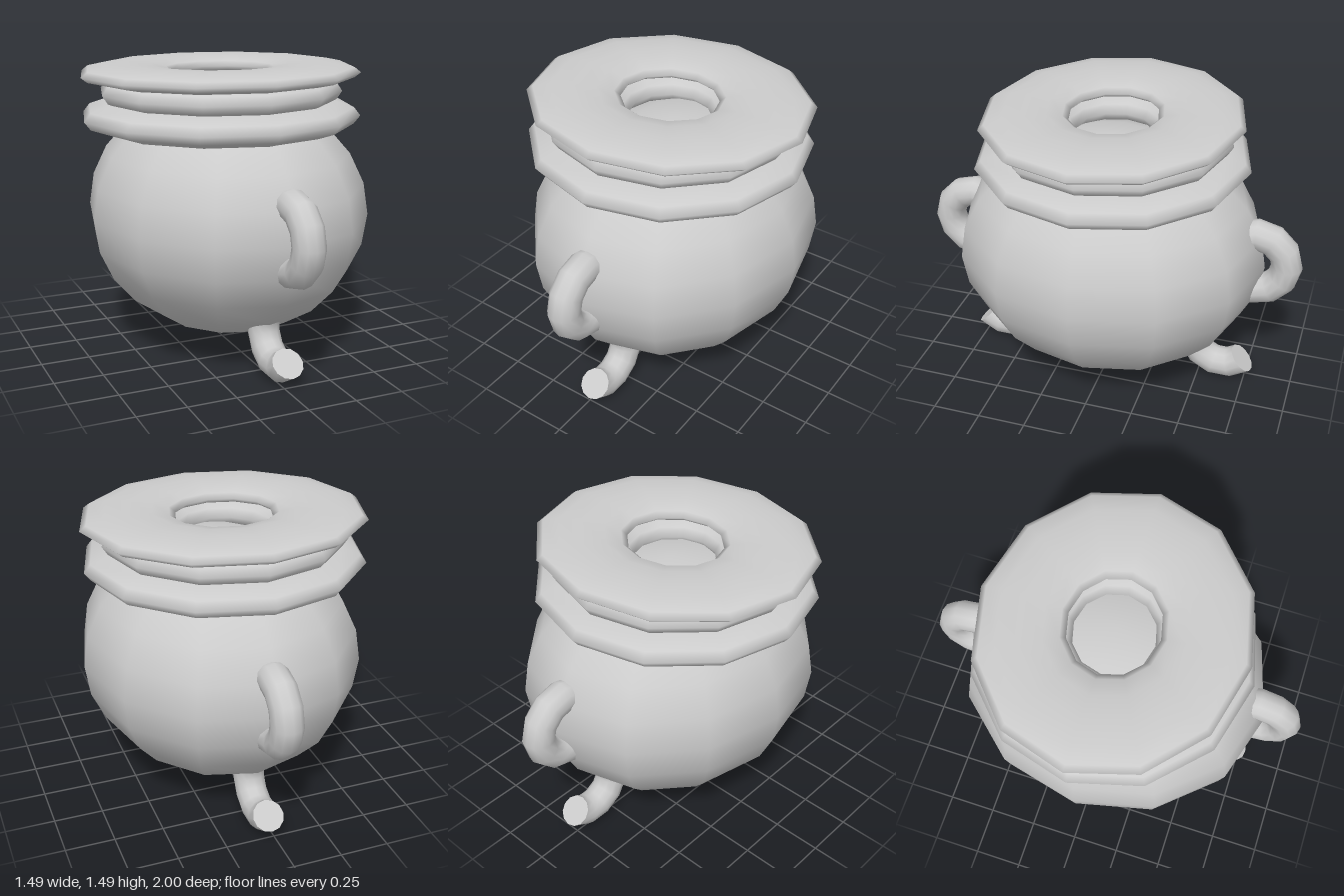
import * as THREE from 'three';

const material = new THREE.MeshStandardMaterial({ color: 0xcccccc });
const deg = THREE.MathUtils.degToRad;

function addMesh(parent, name, geometry, x = 0, y = 0, z = 0) {
  const mesh = new THREE.Mesh(geometry, material);
  mesh.name = name;
  mesh.position.set(x, y, z);
  parent.add(mesh);
  return mesh;
}

// Flattened oval ring lying in the horizontal plane
function ringGeometry(outerX, outerZ, innerX, halfHeight) {
  const radius = (outerX + innerX) / 2;
  const tube = (outerX - innerX) / 2;
  return new THREE.TorusGeometry(radius, tube, 12, 12)
    .rotateX(Math.PI / 2)
    .scale(1, halfHeight / tube, outerZ / outerX);
}

// Bent tube in the YZ plane; angles run from +z towards +y
const BEND = 0.16;
const TUBE = 0.08;
function bendGeometry(start, end) {
  return new THREE.TorusGeometry(BEND, TUBE, 12, Math.round((end - start) / 30), deg(end - start))
    .rotateZ(deg(start))
    .rotateY(-Math.PI / 2);
}

// Flat disc closing the end of a bent tube
function endCapGeometry(angle) {
  return new THREE.CircleGeometry(TUBE, 12)
    .rotateX(-Math.PI / 2)
    .translate(BEND, 0, 0)
    .rotateZ(deg(angle))
    .rotateY(-Math.PI / 2);
}

export function createModel() {
  const model = new THREE.Group();
  model.name = 'cauldron';

  // Rounded belly
  addMesh(model, 'body', new THREE.SphereGeometry(1, 12, 12).scale(0.72, 0.635, 0.81), 0.02, 0.735, 0);

  // Stacked neck rings
  addMesh(model, 'lowerRing', ringGeometry(0.723, 0.7, 0.24, 0.083), -0.012, 1.243, 0);
  addMesh(model, 'neckRing', ringGeometry(0.628, 0.605, 0.21, 0.085), -0.012, 1.367, 0);
  addMesh(model, 'rimRing', ringGeometry(0.733, 0.66, 0.25, 0.05), -0.012, 1.46, 0);

  // A handle and a foot at the front, repeated at the back
  for (const side of ['front', 'back']) {
    const pair = new THREE.Group();
    pair.name = side + 'HandleAndFoot';
    pair.position.x = 0.025;
    pair.rotation.y = side === 'front' ? 0 : Math.PI;
    addMesh(pair, side + 'Handle', bendGeometry(-120, 120), 0, 0.765, 0.76);
    addMesh(pair, side + 'Foot', bendGeometry(-225, -45), 0, 0.25, 0.62);
    addMesh(pair, side + 'FootEnd', endCapGeometry(-45), 0, 0.25, 0.62);
    model.add(pair);
  }

  return model;
}
